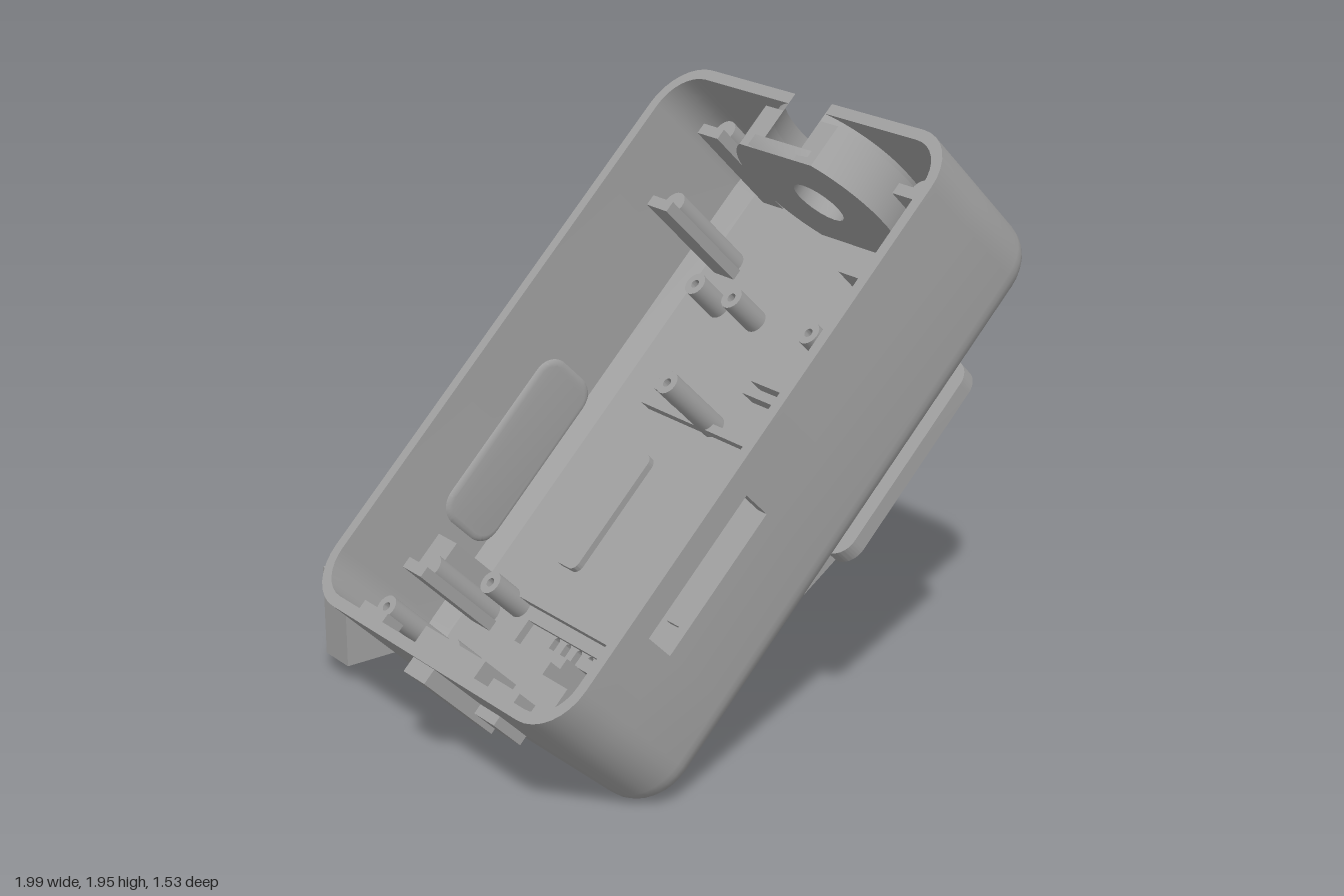
import * as THREE from 'three';
import { toCreasedNormals } from 'three/addons/utils/BufferGeometryUtils.js';

// Local frame of the tilted case: x = length, y = depth (open face up), z = width
const U0 = -0.42, U1 = 1.81, V0 = 0.37, V1 = 0.96, Z0 = -0.66, Z1 = 0.765;
const FLOOR = 0.42, WALL = 0.04, CORNER = 0.18, FILLET = 0.1;
const CUP = { z: 0.055, v: 0.685, r: 0.29, ro: 0.33 };
const WIN = { u0: 0, u1: 0.525, v0: 0.757, v1: 0.87 };

export function createModel() {
  const grey = new THREE.MeshStandardMaterial({ color: 0xa0a0a0, side: THREE.DoubleSide });
  grey.name = 'grey plastic';
  const model = new THREE.Group();
  const body = new THREE.Group();
  body.name = 'tiltedCase';
  body.rotation.z = Math.PI / 4;
  model.add(body);

  const add = (name, geo, parent = body) => {
    const m = new THREE.Mesh(geo, grey);
    m.name = name;
    parent.add(m);
    return m;
  };
  const box = (name, u0, u1, v0, v1, z0, z1, parent = body) => {
    const g = new THREE.BoxGeometry(u1 - u0, v1 - v0, z1 - z0);
    g.translate((u0 + u1) / 2, (v0 + v1) / 2, (z0 + z1) / 2);
    return add(name, g, parent);
  };
  // Skin joining rows of points
  const loft = (rows, closed, skip = () => false) => {
    const p = [];
    for (let j = 0; j < rows.length - 1; j++) {
      const n = rows[j].length;
      for (let i = 0; i < (closed ? n : n - 1); i++) {
        if (skip(i, j)) continue;
        const k = (i + 1) % n;
        const a = rows[j][i], b = rows[j][k], c = rows[j + 1][k], d = rows[j + 1][i];
        p.push(...a, ...d, ...c, ...a, ...c, ...b);
      }
    }
    const g = new THREE.BufferGeometry();
    g.setAttribute('position', new THREE.Float32BufferAttribute(p, 3));
    return toCreasedNormals(g, 0.6);
  };
  const rect = (x0, x1, y0, y1, r, C = THREE.Shape) => {
    const s = new C(), h = Math.PI / 2;
    s.absarc(x1 - r, y1 - r, r, 0, h);
    s.absarc(x0 + r, y1 - r, r, h, 2 * h);
    s.absarc(x0 + r, y0 + r, r, 2 * h, 3 * h);
    s.absarc(x1 - r, y0 + r, r, 3 * h, 4 * h);
    s.closePath();
    return s;
  };
  const extrude = (s, depth) => toCreasedNormals(
    new THREE.ExtrudeGeometry(s, { depth, bevelEnabled: false, curveSegments: 10 }), 0.6);
  // Shape in (u, -z) raised along v
  const slab = (name, s, v, h) => add(name, extrude(s, h).rotateX(-Math.PI / 2).translate(0, v, 0));
  // Shape in (-z, v) about the cup axis, extruded along u
  const onEnd = (name, s, u, d) =>
    add(name, extrude(s, d).rotateY(Math.PI / 2).translate(u, CUP.v, CUP.z));

  // Shell walls: outer fillet, outer side, rim, inner side
  const ring = (inset, v) => {
    const pts = [], r = CORNER - inset;
    [[U1, Z1, -1, -1], [U0, Z1, 1, -1], [U0, Z0, 1, 1], [U1, Z0, -1, 1]].forEach(([u, z, su, sz], q) => {
      for (let i = 0; i <= 8; i++) {
        const a = (q + i / 8) * Math.PI / 2;
        pts.push([u + su * CORNER + r * Math.cos(a), v, z + sz * CORNER + r * Math.sin(a)]);
      }
      if (q === 0) pts.push([WIN.u1, v, Z1 - inset], [WIN.u0, v, Z1 - inset]);
      if (q === 3) pts.push([U1 - inset, v, CUP.z - CUP.r], [U1 - inset, v, CUP.z + CUP.r]);
    });
    return pts;
  };
  const rows = [];
  for (let k = 0; k <= 6; k++) {
    const a = k * Math.PI / 12;
    rows.push(ring(FILLET * (1 - Math.sin(a)), V0 + FILLET * (1 - Math.cos(a))));
  }
  [WIN.v0, WIN.v1, V1].forEach(v => rows.push(ring(0, v)));
  [V1, WIN.v1, WIN.v0, 0.47].forEach(v => rows.push(ring(WALL, v)));
  rows.push(ring(FILLET, FLOOR));
  add('shellWalls', loft(rows, true, (i, j) => i === 38 || (i === 9 && (j === 7 || j === 11))));
  const frame = z => [[WIN.u0, WIN.v0, z], [WIN.u1, WIN.v0, z], [WIN.u1, WIN.v1, z], [WIN.u0, WIN.v1, z]];
  add('sideWindowReveal', loft([frame(Z1), frame(Z1 - WALL)], true));

  // Floor with vent slots
  const floor = rect(U0 + FILLET, U1 - FILLET, -Z1 + FILLET, -Z0 - FILLET, CORNER - FILLET);
  for (let i = 0; i < 5; i++) {
    const y = 0.075 - i * 0.0625;
    floor.holes.push(rect(-0.28, -0.08, y - 0.014, y + 0.014, 0.0135, THREE.Path));
  }
  slab('floor', floor, V0, FLOOR - V0);

  // End wall around the round recess
  const filletU = v => v >= V0 + FILLET ? U1
    : U1 - FILLET + Math.sqrt(Math.max(0, FILLET ** 2 - (V0 + FILLET - v) ** 2));
  const cols = [];
  for (let i = 0; i <= 32; i++) {
    const a = Math.PI * (1 + i / 32), col = [];
    const top = CUP.v + CUP.r * Math.sin(a);
    for (let j = 0; j <= 12; j++) {
      const v = V0 + (top - V0) * (j / 12) ** 1.5;
      col.push([filletU(v), v, CUP.z + CUP.r * Math.cos(a)]);
    }
    cols.push(col);
  }
  add('endWallLower', loft(cols, false));
  const t = V1 - CUP.v;
  const arc = (r, n = 40) => {
    const a0 = Math.asin(t / r), out = [];
    for (let i = 0; i <= n; i++) {
      const a = a0 - (Math.PI + 2 * a0) * i / n;
      out.push(new THREE.Vector2(r * Math.cos(a), Math.max(-0.3, r * Math.sin(a))));
    }
    return out;
  };
  for (const s of [-1, 1]) {
    const a0 = Math.asin(t / CUP.r), pts = [new THREE.Vector2(s * CUP.r, t)];
    for (let i = 0; i <= 14; i++) {
      const a = a0 * (1 - i / 14);
      pts.push(new THREE.Vector2(s * CUP.r * Math.cos(a), CUP.r * Math.sin(a)));
    }
    onEnd('endWallUpper', new THREE.Shape(pts), U1 - WALL, WALL);
  }
  onEnd('recessCup', new THREE.Shape([...arc(CUP.ro), ...arc(CUP.r).reverse()]), 1.58, 0.16);
  const disc = new THREE.Shape(arc(0.31));
  disc.holes.push(new THREE.Path().absarc(0, 0, 0.1, 0, Math.PI * 2));
  onEnd('recessFloor', disc, 1.58, 0.05);
  const rim = arc(CUP.r).map(p => [p.y + CUP.v, CUP.z + p.x]);
  add('recessBore', loft([rim.map(([v, z]) => [1.74, v, z]), rim.map(([v, z]) => [filletU(v), v, z])], false));

  // Clip tabs below the floor with their arms inside
  for (const z of [0.555, -0.445]) {
    for (const [u, top] of [[-0.13, 0.8], [1.36, 0.84], [1.67, 0.84]]) {
      box('clipTab', u - 0.048, u + 0.048, 0.318, 0.4, z - 0.055, z + 0.055);
      box('clipArm', u - 0.045, u - 0.005, FLOOR, top, z - 0.055, z + 0.055);
      const c = new THREE.CylinderGeometry(0.045, 0.045, top - 0.05 - FLOOR, 20);
      add('clipPost', c.translate(u + 0.01, (top - 0.05 + FLOOR) / 2, z));
    }
    box('rimCatch', -0.39, -0.345, 0.85, 0.93, z - 0.13 * (z > 0) + 0.12 * (z < 0) - 0.07, z - 0.13 * (z > 0) + 0.12 * (z < 0) + 0.07);
  }

  // Cover plate, ramp and panel under the floor
  const cover = rect(0.585, 1.335, -Z1, 0.17, 0.07);
  slab('coverPlate', cover, 0.32, 0.055);
  const panel = rect(0.785, 1.18, -0.735, 0.045, 0.005);
  panel.holes.push(new THREE.Path().absarc(1.05, -0.565, 0.03, 0, Math.PI * 2));
  slab('coverPanel', panel, 0.312, 0.008);
  const ramp = new THREE.Shape([[0.31, 0.375], [0.6, 0.32], [0.6, 0.375]].map(p => new THREE.Vector2(...p)));
  add('ramp', extrude(ramp, 0.78).translate(0, 0, -0.09));

  // Rounded bump on the back wall
  const bump = new THREE.ExtrudeGeometry(rect(0.08, 0.715, 0.475, 0.7, 0.06),
    { depth: 0.1, bevelSize: 0.03, bevelThickness: 0.03, bevelSegments: 4, curveSegments: 10 });
  add('sideBump', toCreasedNormals(bump, 0.6).translate(0, 0, -0.74));

  // Upright foot block and post
  box('footBlock', -0.84, -0.345, 0.07, 0.39, -0.77, -0.63, model);
  const post = new THREE.Shape([[0.4, 0.71], [0.545, 0.71], [0.545, 1.09], [0.4, 0.95]].map(p => new THREE.Vector2(...p)));
  add('supportPost', extrude(post, 0.18).translate(0, 0, -0.45), model);

  // Lower end tabs and connector housing
  box('endTab', -0.475, -0.4, 0.59, 0.94, -0.01, 0.11);
  box('endStep', -0.455, -0.4, 0.56, 0.7, -0.13, 0.22);
  box('connectorBack', -0.39, -0.31, 0.5, 0.88, -0.12, 0.22);
  box('connectorBody', -0.33, -0.18, FLOOR, 0.6, -0.13, 0.16);
  box('connectorLip', -0.2, -0.14, FLOOR, 0.55, -0.06, 0.16);
  box('connectorShelf', -0.39, -0.24, FLOOR, 0.72, 0.2, 0.43);
  box('cornerBlock', -0.12, 0.0, FLOOR, 0.66, -0.62, -0.51);

  // Floor ribs, vent frame and raised pads
  box('rib', -0.03, 0, FLOOR, 0.48, -0.37, 0.46);
  box('rib', 0.765, 0.795, FLOOR, 0.465, -0.37, 0.46);
  box('ventFrame', -0.32, -0.06, FLOOR, 0.45, -0.24, -0.22);
  box('ventFrame', -0.32, -0.06, FLOOR, 0.45, 0.33, 0.35);
  box('ventFrame', -0.08, -0.06, FLOOR, 0.45, -0.22, 0.33);
  for (const z of [-0.24, 0.36]) slab('pad', rect(0.14, 0.61, -z - 0.06, -z + 0.06, 0.03), FLOOR, 0.025);

  // Hollow screw bosses
  const boss = (name, u, z, h, r, hole) => {
    const s = new THREE.Shape().absarc(u, -z, r, 0, Math.PI * 2);
    s.holes.push(new THREE.Path().absarc(u, -z, hole, 0, Math.PI * 2));
    slab(name, s, FLOOR, h);
  };
  [[-0.31, -0.33, 0.15], [-0.05, -0.33, 0.17], [-0.31, -0.55, 0.3], [0.84, -0.22, 0.15], [0.8, -0.04, 0.28],
    [1.18, 0.35, 0.15], [1.2, -0.37, 0.15], [1.2, -0.17, 0.15], [1.18, 0.25, 0.15]]
    .forEach(([u, z, h]) => boss('screwBoss', u, z, h, 0.042, 0.016));
  boss('ringHolder', 0.99, 0.55, 0.1, 0.095, 0.07);
  boss('ringCore', 0.99, 0.55, 0.06, 0.04, 0.02);
  box('bossWeb', 0.8, 0.84, FLOOR, 0.56, -0.22, -0.04);
  for (const u of [0.93, 0.98]) box('holderRail', u, u + 0.02, FLOOR, 0.48, 0.05, 0.3);

  return model;
}
